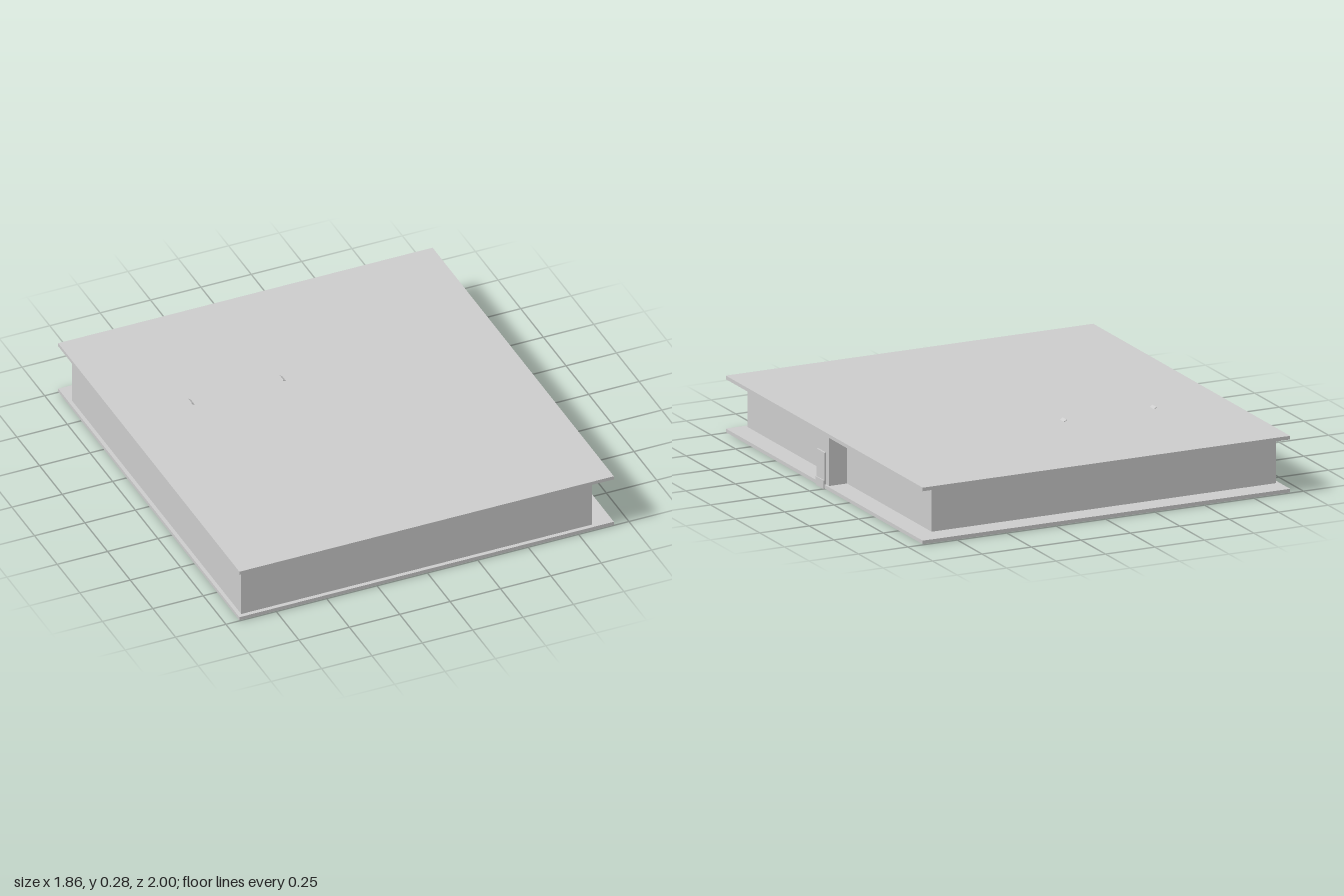
import * as THREE from 'three';

export function createModel() {
  const group = new THREE.Group();
  const material = new THREE.MeshStandardMaterial({ color: 0xcccccc, flatShading: true });

  // Box given by its minimum and maximum corners
  function block(name, [x0, y0, z0], [x1, y1, z1]) {
    const mesh = new THREE.Mesh(new THREE.BoxGeometry(x1 - x0, y1 - y0, z1 - z0), material);
    mesh.position.set((x0 + x1) / 2, (y0 + y1) / 2, (z0 + z1) / 2);
    mesh.name = name;
    group.add(mesh);
    return mesh;
  }

  // Floor and flat overhanging roof
  block('floorSlab', [-0.933, 0.003, -1], [0.925, 0.02, 1]);
  block('roofSlab', [-0.933, 0.253, -1], [0.925, 0.27, 1]);

  // Main building and projecting entrance bay
  block('walls', [-0.915, 0.02, -0.89], [0.825, 0.253, 0.98]);
  block('entranceBay', [0.825, 0.02, -0.03], [0.915, 0.253, 0.1]);

  // Door with a low sill
  block('door', [0.915, 0.02, 0], [0.924, 0.17, 0.08]);
  block('doorSill', [0.915, 0, 0], [0.93, 0.04, 0.08]);

  // Small tilted flaps on the roof
  for (const x of [-0.577, -0.123]) {
    const flap = new THREE.Mesh(new THREE.BoxGeometry(0.017, 0.003, 0.042), material);
    flap.position.set(x, 0.273, -0.323);
    flap.rotation.z = -0.6;
    flap.name = 'roofFlap';
    group.add(flap);
  }
  return group;
}
